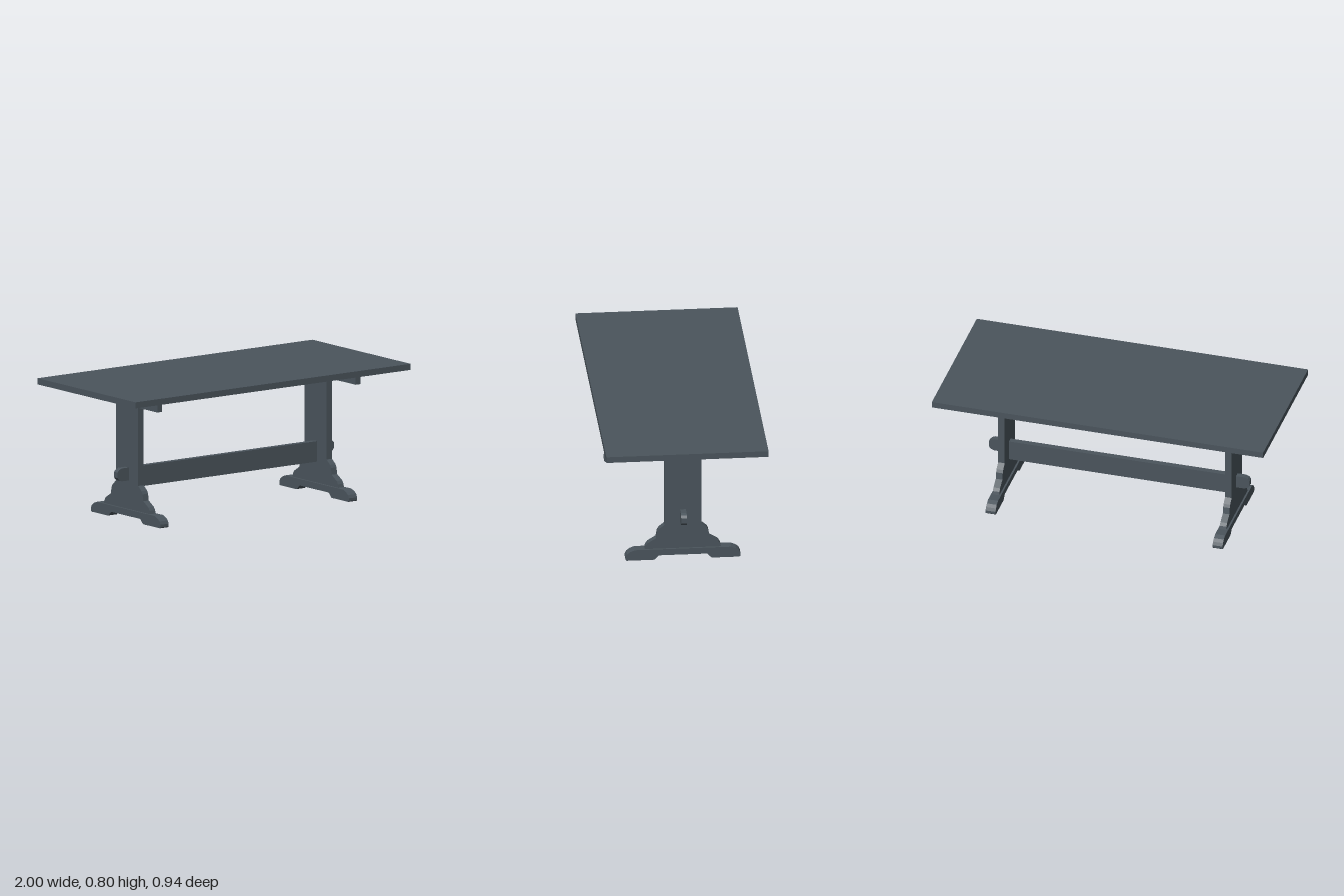
import * as THREE from 'three';

export function createModel() {
  const group = new THREE.Group();
  const slate = new THREE.MeshStandardMaterial({ color: 0x4a545c });
  slate.name = 'slate paint';

  const add = (name, geometry, x = 0, y = 0, z = 0) => {
    const mesh = new THREE.Mesh(geometry, slate);
    mesh.name = name;
    mesh.position.set(x, y, z);
    group.add(mesh);
    return mesh;
  };
  const box = (name, w, h, d, x, y, z) => add(name, new THREE.BoxGeometry(w, h, d), x, y, z);

  // Board cut from a half outline mirrored about its centre line
  const board = (half, thickness) => {
    const mirrored = half.map(([u, v]) => [-u, v]).reverse();
    const shape = new THREE.Shape([...half, ...mirrored].map(([u, v]) => new THREE.Vector2(u, v)));
    const geometry = new THREE.ExtrudeGeometry(shape, { depth: thickness, bevelEnabled: false });
    return geometry.translate(0, 0, -thickness / 2);
  };

  // Table top and the rail beneath it
  box('tableTop', 2, 0.036, 0.945, 0, 0.78, 0);
  box('topRail', 1.33, 0.074, 0.034, 0, 0.725, 0);

  // Stretcher with rounded tenons passing through both posts
  add('stretcher', board([
    [0.665, 0.19], [0.665, 0.235], [0.755, 0.235], [0.775, 0.243], [0.787, 0.258],
    [0.787, 0.29], [0.775, 0.303], [0.755, 0.311],
  ], 0.034));

  // Trestle outlines: post with stepped base, and arched foot
  const post = board([
    [0.222, 0.066], [0.217, 0.085], [0.205, 0.103], [0.156, 0.133], [0.149, 0.172],
    [0.14, 0.189], [0.107, 0.216], [0.107, 0.762],
  ], 0.04).rotateY(Math.PI / 2);
  const foot = board([
    [0.14, 0.027], [0.165, 0.002], [0.172, 0], [0.328, 0], [0.335, 0.006],
    [0.335, 0.022], [0.326, 0.04], [0.308, 0.054], [0.28, 0.065],
  ], 0.06).rotateY(Math.PI / 2);

  for (const [side, s] of [['left', 1], ['right', -1]]) {
    add(side + 'Post', post, s * 0.685);
    add(side + 'Foot', foot, s * 0.685);
    // Cross beam on the outer face of the post
    box(side + 'CrossBeam', 0.034, 0.075, 0.67, s * 0.721, 0.7245, 0);
  }
  return group;
}
